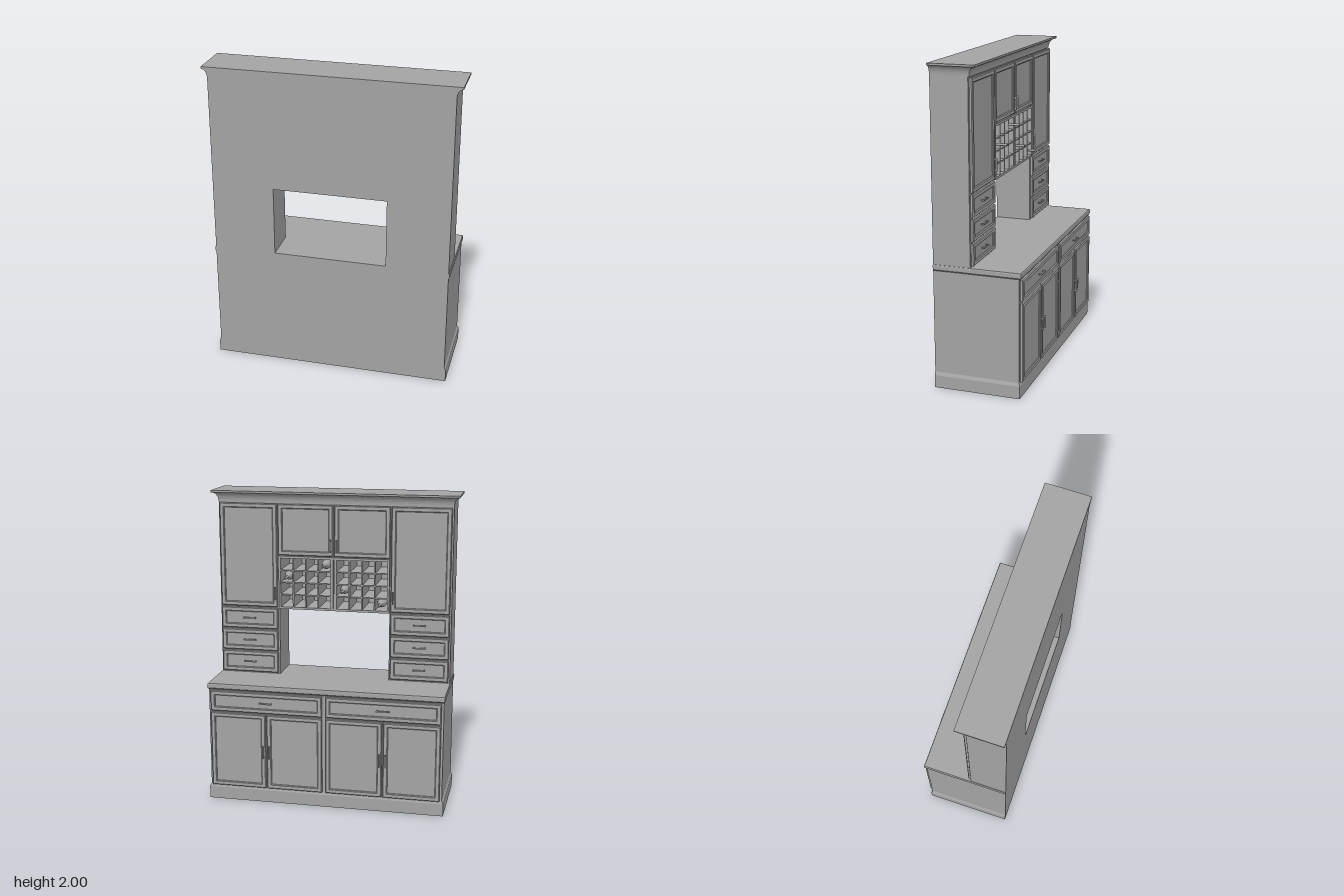
import * as THREE from 'three';

const paint = new THREE.MeshStandardMaterial({ color: 0xa3a3a3 });
paint.name = 'grey paint';

function add(parent, name, geometry) {
  const mesh = new THREE.Mesh(geometry, paint);
  mesh.name = name;
  parent.add(mesh);
  return mesh;
}

// Box given by its limits on each axis
function box(parent, name, x0, x1, y0, y1, z0, z1) {
  const mesh = add(parent, name, new THREE.BoxGeometry(x1 - x0, y1 - y0, z1 - z0));
  mesh.position.set((x0 + x1) / 2, (y0 + y1) / 2, (z0 + z1) / 2);
  return mesh;
}

// Stack of rectangles [half width, y, front z] with a flat back
function moulding(parent, name, rows, back) {
  const pos = [];
  const quad = (a, b, c, d) => pos.push(...a, ...b, ...c, ...a, ...c, ...d);
  const ring = ([w, y, f]) => [[-w, y, back], [-w, y, f], [w, y, f], [w, y, back]];
  const rings = rows.map(ring);
  for (let i = 0; i < rings.length - 1; i++) {
    for (let k = 0; k < 4; k++) {
      const n = (k + 1) % 4;
      quad(rings[i][k], rings[i][n], rings[i + 1][n], rings[i + 1][k]);
    }
  }
  const t = rings[rings.length - 1], b = rings[0];
  quad(t[0], t[1], t[2], t[3]);
  quad(b[3], b[2], b[1], b[0]);
  const g = new THREE.BufferGeometry();
  g.setAttribute('position', new THREE.Float32BufferAttribute(pos, 3));
  g.computeVertexNormals();
  return add(parent, name, g);
}

// Bevelled frame with a recessed panel, standing on the plane z
function panelFront(parent, name, x0, x1, y0, y1, z) {
  const group = new THREE.Group();
  group.name = name;
  parent.add(group);
  const rail = 0.03, bevel = 0.005;
  const shape = new THREE.Shape();
  shape.moveTo(x0, y0).lineTo(x1, y0).lineTo(x1, y1).lineTo(x0, y1).closePath();
  const hole = new THREE.Path();
  hole.moveTo(x0 + rail, y0 + rail).lineTo(x0 + rail, y1 - rail)
    .lineTo(x1 - rail, y1 - rail).lineTo(x1 - rail, y0 + rail).closePath();
  shape.holes.push(hole);
  const frame = add(group, 'frame', new THREE.ExtrudeGeometry(shape, {
    depth: 0.012, bevelThickness: bevel, bevelSize: bevel, bevelOffset: -bevel, bevelSegments: 1,
  }));
  frame.position.z = z + bevel;
  const e = rail - 0.008;
  box(group, 'panel', x0 + e, x1 - e, y0 + e, y1 - e, z, z + 0.012);
}

// Bar pull on two posts
function handle(parent, x, y, z, length, reach, vertical) {
  const group = new THREE.Group();
  group.name = 'handle';
  group.position.set(x, y, z);
  if (vertical) group.rotation.z = Math.PI / 2;
  parent.add(group);
  const h = length / 2, r = 0.004;
  box(group, 'bar', -h, h, -r, r, reach - 2 * r, reach);
  for (const s of [-1, 1]) {
    const px = s * (h - 0.008);
    box(group, 'post', px - r, px + r, -r, r, 0, reach - r);
  }
}

export function createModel() {
  const root = new THREE.Group();
  root.name = 'hutchCabinet';
  // The doors are built toward +z, then turned to their final side
  const body = new THREE.Group();
  body.name = 'cabinet';
  body.rotation.y = Math.PI;
  root.add(body);
  const back = -0.29, lowZ = 0.252, upZ = -0.053;

  // Base cabinet, plinth and countertop
  box(body, 'baseCarcass', -0.762, 0.762, 0.08, 0.76, back, lowZ);
  moulding(body, 'plinth', [[0.772, 0, 0.26], [0.772, 0.08, 0.26], [0.762, 0.1, 0.252]], back);
  moulding(body, 'countertop', [[0.762, 0.752, 0.262], [0.768, 0.76, 0.268],
    [0.768, 0.785, 0.268], [0.765, 0.79, 0.265]], back);

  // Base drawers and paired doors
  for (const s of [-1, 1]) {
    const c = s * 0.38;
    panelFront(body, 'baseDrawer', c - 0.368, c + 0.368, 0.61, 0.745, lowZ);
    handle(body, c, 0.677, lowZ + 0.012, 0.085, 0.021, false);
    for (const d of [-1, 1]) {
      const a = c + d * 0.004, b = c + d * 0.368;
      panelFront(body, 'baseDoor', Math.min(a, b), Math.max(a, b), 0.1, 0.6, lowZ);
      handle(body, c + d * 0.02, 0.35, lowZ + 0.02, 0.085, 0.018, true);
    }
  }

  // Upper carcass: two towers and the bridge above the opening
  for (const s of [-1, 1]) {
    const c = s * 0.5625;
    box(body, 'tower', c - 0.1995, c + 0.1995, 0.79, 1.94, back, upZ);
    const x0 = c - 0.19, x1 = c + 0.19;
    panelFront(body, 'towerDoor', x0, x1, 1.245, 1.92, upZ);
    handle(body, c - s * 0.175, 1.34, upZ + 0.02, 0.085, 0.018, true);
    for (let i = 0; i < 3; i++) {
      const y = 0.8 + i * 0.148;
      panelFront(body, 'towerDrawer', x0, x1, y, y + 0.14, upZ);
      handle(body, c, y + 0.07, upZ + 0.012, 0.085, 0.021, false);
    }
    const m = s * 0.185;
    panelFront(body, 'bridgeDoor', m - 0.181, m + 0.181, 1.59, 1.92, upZ);
    handle(body, s * 0.02, 1.66, upZ + 0.02, 0.085, 0.018, true);
  }
  box(body, 'bridge', -0.363, 0.363, 1.575, 1.94, back, upZ);
  box(body, 'rackBack', -0.363, 0.363, 1.236, 1.575, back, back + 0.015);

  // Bottle racks, four by four cells on each side
  const rackZ = -0.034, t = 0.004, pitchX = 0.0825, pitchY = 0.08;
  for (const s of [-1, 1]) {
    const rack = new THREE.Group();
    rack.name = 'bottleRack';
    body.add(rack);
    const left = s > 0 ? 0.02 : -0.35;
    box(rack, 'rackFloor', s > 0 ? 0 : -0.363, s > 0 ? 0.363 : 0, 1.236, 1.25, back, rackZ);
    box(rack, 'rackTop', s > 0 ? 0 : -0.363, s > 0 ? 0.363 : 0, 1.57, 1.585, back, rackZ);
    box(rack, 'innerStile', s > 0 ? 0.002 : -0.02, s > 0 ? 0.02 : -0.002, 1.25, 1.57, back, rackZ);
    box(rack, 'outerStile', s > 0 ? 0.35 : -0.363, s > 0 ? 0.363 : -0.35, 1.25, 1.57, back, rackZ);
    for (let i = 1; i < 4; i++) {
      const x = left + i * pitchX, y = 1.25 + i * pitchY;
      box(rack, 'divider', x - t, x + t, 1.25, 1.57, back, rackZ - 0.003);
      box(rack, 'shelf', left, left + 0.33, y - t, y + t, back, rackZ - 0.004);
    }
  }

  // Stored bottles with the necks showing
  const profile = [[0, 0], [0.03, 0], [0.03, 0.15], [0.024, 0.17], [0.008, 0.19],
    [0.008, 0.24], [0.009, 0.242], [0.009, 0.26], [0, 0.26]].map(p => new THREE.Vector2(...p));
  for (const [x, y, tip] of [[-0.305, 1.45, 0.02], [-0.06, 1.53, 0.017],
    [0.063, 1.37, 0.012], [0.305, 1.29, 0.004]]) {
    const bottle = add(body, 'bottle', new THREE.LatheGeometry(profile, 16));
    bottle.rotation.x = Math.PI / 2;
    bottle.position.set(x, y, tip - 0.26);
  }

  // Coved crown
  const rows = [[0.762, 1.925, -0.046]];
  for (let i = 0; i <= 8; i++) {
    const a = (i / 8) * Math.PI / 2;
    const out = 1 - Math.cos(a);
    rows.push([0.762 + 0.033 * out, 1.93 + 0.055 * Math.sin(a), -0.046 + 0.04 * out]);
  }
  rows.push([0.8, 1.988, 0], [0.8, 2, 0]);
  moulding(body, 'crown', rows, back);

  return root;
}
